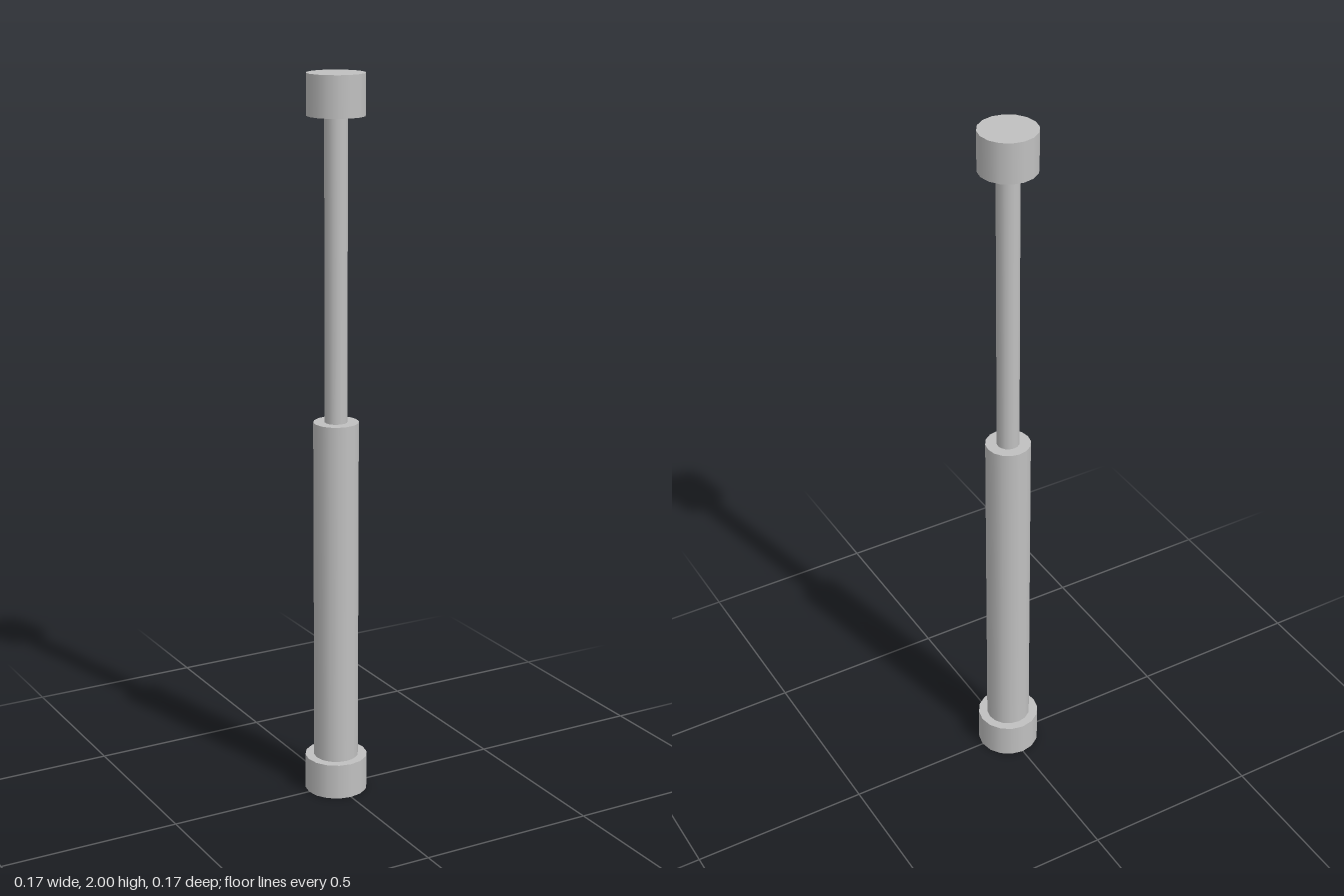
import * as THREE from 'three';

export function createModel() {
  const model = new THREE.Group();
  model.name = 'telescopicStrut';
  const steel = new THREE.MeshStandardMaterial({ color: 0xc0c0c0 });
  steel.name = 'steelGrey';

  // Upright 16-sided cylinder between two heights
  const addCylinder = (name, radius, bottom, top) => {
    const geometry = new THREE.CylinderGeometry(radius, radius, top - bottom, 16);
    const mesh = new THREE.Mesh(geometry, steel);
    mesh.name = name;
    mesh.position.y = (bottom + top) / 2;
    model.add(mesh);
  };

  addCylinder('baseCap', 0.087, 0, 0.1);
  addCylinder('outerTube', 0.062, 0.1, 1.07);
  addCylinder('pistonRod', 0.031, 1.07, 1.89);
  addCylinder('topCap', 0.078, 1.89, 2);

  return model;
}
